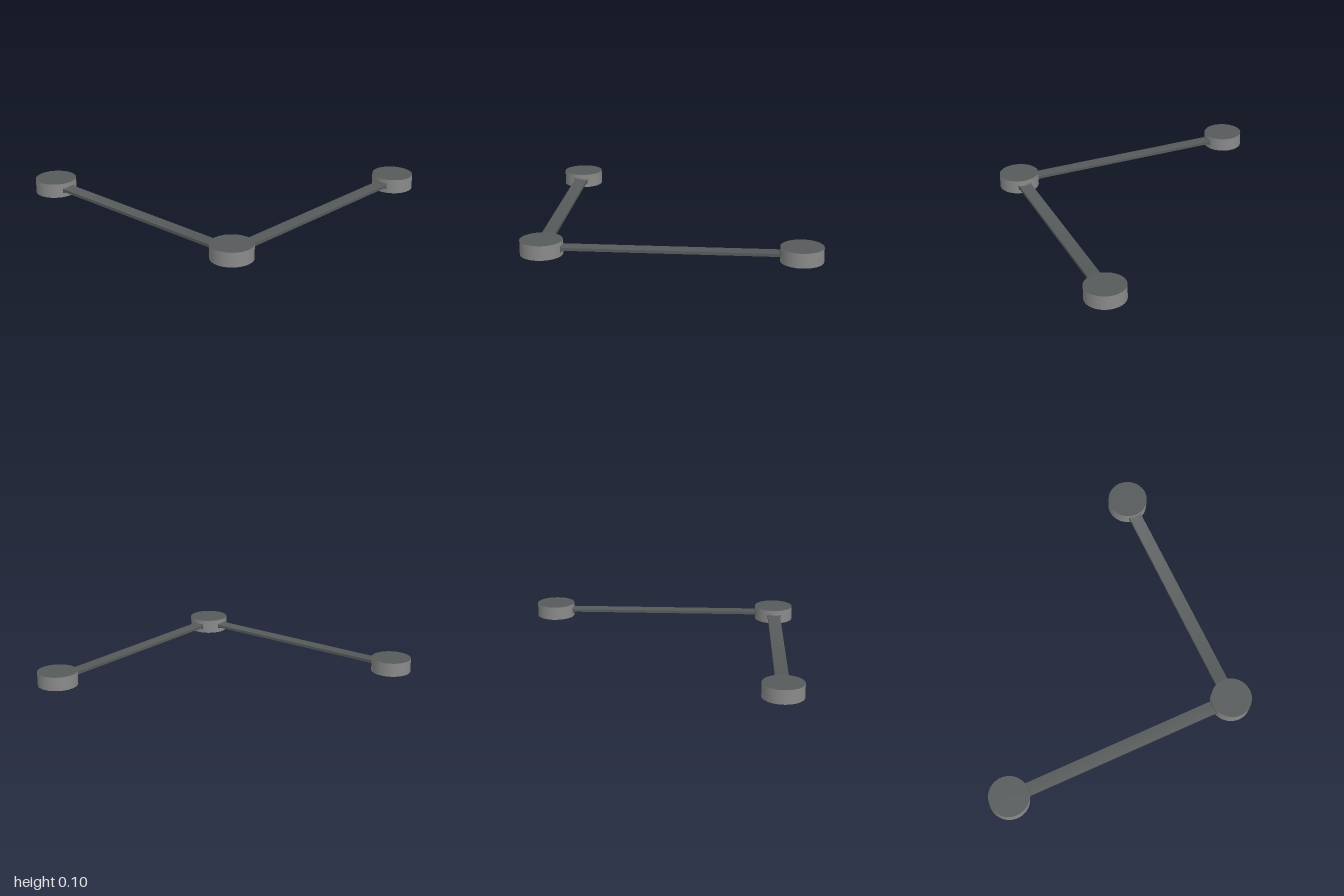
import * as THREE from 'three';
import { toCreasedNormals } from 'three/addons/utils/BufferGeometryUtils.js';

const R = 0.143, H = 0.1, C = 0.857; // disc radius, disc height, centre offset

export function createModel() {
  const group = new THREE.Group();
  const darkGrey = new THREE.MeshStandardMaterial({ color: 0x565a5a });
  darkGrey.name = 'darkGrey';
  const lightGrey = new THREE.MeshStandardMaterial({ color: 0x8a8a8a });
  lightGrey.name = 'lightGrey';

  // Round discs: light rim, dark faces
  const discGeometry = new THREE.CylinderGeometry(R, R, H, 64);
  const addDisc = (name, x, z) => {
    const disc = new THREE.Mesh(discGeometry, [lightGrey, darkGrey, darkGrey]);
    disc.name = name;
    disc.position.set(x, H / 2, z);
    group.add(disc);
  };
  addDisc('cornerDisc', C, C);
  addDisc('rightDisc', -C, C);
  addDisc('backDisc', C, -C);

  // Flat bar whose ends flare slightly where they meet the round rims
  // Stations: distance from disc centre, half thickness, half width
  const flare = [[0.135, 0.021, 0.051], [0.143, 0.02, 0.05], [0.148, 0.013, 0.048], [0.155, 0.01, 0.047]];
  const n = flare.length * 2 - 1;
  const barGeometry = new THREE.BoxGeometry(2, 2, 2, n, 1, 8);
  const p = barGeometry.attributes.position;
  for (let i = 0; i < p.count; i++) {
    const k = Math.round((p.getX(i) + 1) / 2 * n);
    const [radius, thick, wide] = flare[Math.min(k, n - k)];
    const z = p.getZ(i) * wide;
    const x = C - Math.sqrt(radius * radius - z * z);
    p.setXYZ(i, k < n / 2 ? -x : x, p.getY(i) * thick, z);
  }
  const smoothBar = toCreasedNormals(barGeometry, 0.5);
  const addBar = (name, x, z, turn) => {
    const bar = new THREE.Mesh(smoothBar, darkGrey);
    bar.name = name;
    bar.position.set(x, H / 2, z);
    bar.rotation.y = turn;
    group.add(bar);
  };
  addBar('frontBar', 0, C, 0);
  addBar('sideBar', C, 0, Math.PI / 2);

  return group;
}
